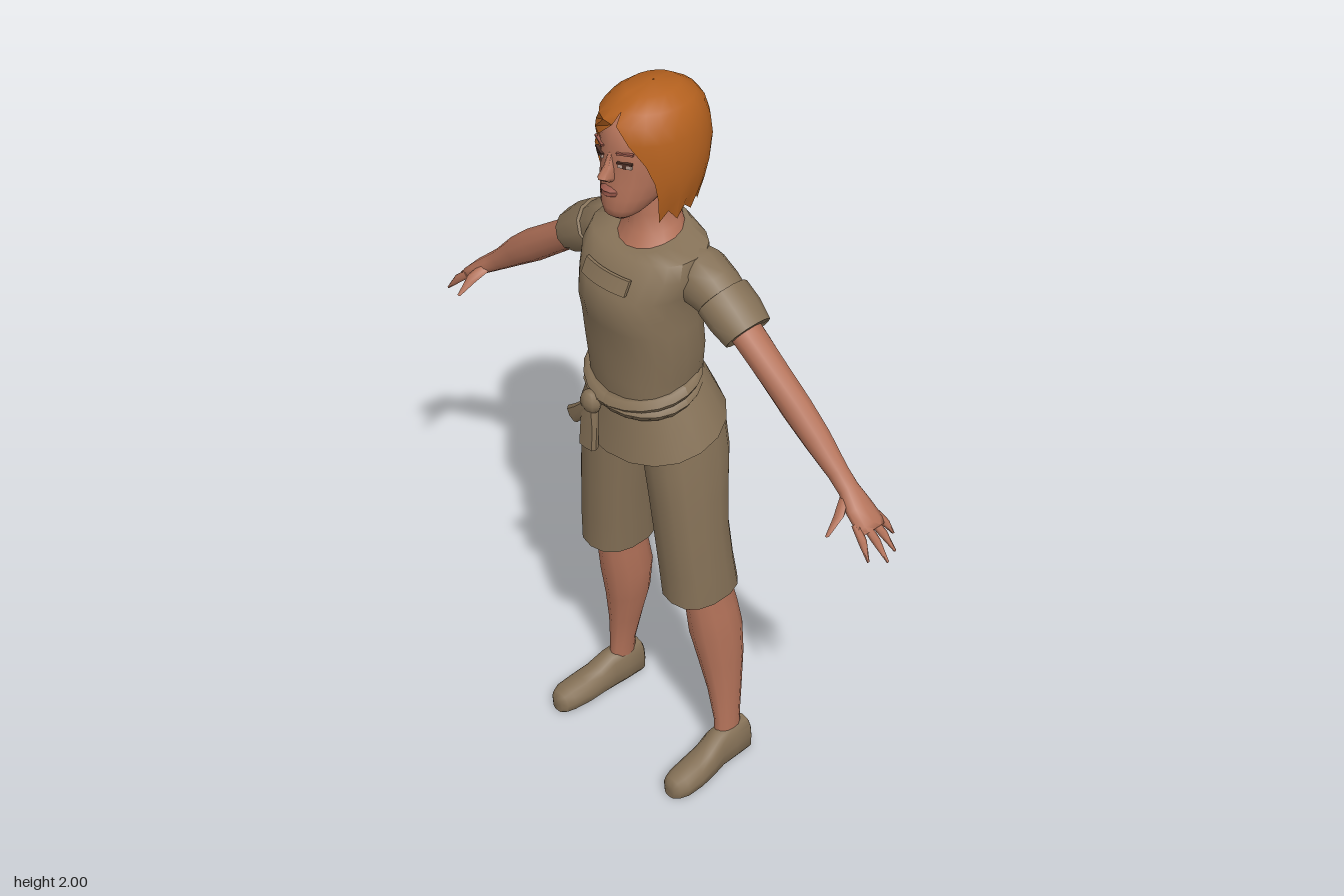
import * as THREE from 'three';
import { toCreasedNormals } from 'three/addons/utils/BufferGeometryUtils.js';

const V = (x, y, z) => new THREE.Vector3(x, y, z);
const pw = (v, p) => Math.sign(v) * Math.abs(v) ** p;

// Closed skin through a list of equal-length rings, capped at both ends and facing outward
function loft(rings, crease = 0.9) {
  const n = rings[0].length, pts = rings.flat(), idx = [];
  for (let i = 0; i < rings.length - 1; i++)
    for (let k = 0; k < n; k++) {
      const a = i * n + k, b = i * n + (k + 1) % n;
      idx.push(a, b, a + n, b, b + n, a + n);
    }
  [0, rings.length - 1].forEach((r) => {
    const c = pts.length, mid = V(0, 0, 0);
    rings[r].forEach((p) => mid.addScaledVector(p, 1 / n));
    pts.push(mid);
    for (let k = 0; k < n; k++) {
      const a = r * n + k, b = r * n + (k + 1) % n;
      r ? idx.push(a, b, c) : idx.push(b, a, c);
    }
  });
  let volume = 0;
  for (let i = 0; i < idx.length; i += 3)
    volume += pts[idx[i]].dot(pts[idx[i + 1]].clone().cross(pts[idx[i + 2]]));
  if (volume < 0) idx.reverse();
  const g = new THREE.BufferGeometry().setFromPoints(pts);
  g.setIndex(idx);
  return toCreasedNormals(g, crease);
}

// Horizontal ring: height, half width, front z, back z, centre x, front-to-back tilt
function ring([y, hw, zf, zb, cx = 0, tilt = 0], n = 16, p = 0.85) {
  return Array.from({ length: n }, (_, k) => {
    const t = (k / n) * Math.PI * 2, c = Math.cos(t);
    return V(cx + hw * pw(Math.sin(t), p), y + tilt * c, (zf + zb) / 2 + (zf - zb) / 2 * pw(c, p));
  });
}
const stack = (rows, n, p, crease) => loft(rows.map((r) => ring(r, n, p)), crease);

// Limb along a path of [x, y, z, radius across, radius in z]
function limb(path, side, n = 10, crease = 0.9) {
  return loft(path.map(([x, y, z, r, rz], i) => {
    const a = path[Math.max(i - 1, 0)], b = path[Math.min(i + 1, path.length - 1)];
    const d = new THREE.Vector2(b[0] - a[0], b[1] - a[1]).normalize();
    return Array.from({ length: n }, (_, k) => {
      const t = (k / n) * Math.PI * 2, u = r * Math.cos(t);
      return V(side * (x - d.y * u), y + d.x * u, z + rz * Math.sin(t));
    });
  }), crease);
}

// Bobbed hair: a shell open around the face, with a jagged lower edge
function hairShell() {
  const rows = [ // height, half width, front z, back z, opening half angle
    [2.0, 0.002, -0.01, -0.014, 0], [1.99, 0.055, 0.06, -0.08, 0], [1.965, 0.088, 0.1, -0.12, 0],
    [1.94, 0.106, 0.124, -0.14, 3], [1.9, 0.118, 0.131, -0.153, 22], [1.85, 0.123, 0.13, -0.158, 41],
    [1.8, 0.122, 0.125, -0.15, 51], [1.75, 0.114, 0.117, -0.137, 56], [1.705, 0.1, 0.1, -0.118, 58],
  ];
  const n = 20, pts = [], idx = [];
  rows.forEach(([y, rx, zf, zb, open], i) => {
    for (let k = 0; k <= n; k++) {
      const o = open * Math.PI / 180, part = 0.16 * (1 - open / 60);
      const t = part + o + (k / n) * (Math.PI * 2 - 2 * o);
      const jag = i === rows.length - 1 ? (k % 2 ? 0.014 : -0.014) - (k < 4 ? 0.008 : 0) : 0;
      pts.push(V(rx * Math.sin(t), y + jag, (zf + zb) / 2 + (zf - zb) / 2 * Math.cos(t)));
      if (i && k) {
        const a = (i - 1) * (n + 1) + k - 1, b = a + n + 1;
        idx.push(a, b, a + 1, a + 1, b, b + 1);
      }
    }
  });
  const g = new THREE.BufferGeometry().setFromPoints(pts);
  g.setIndex(idx);
  return toCreasedNormals(g, 0.6);
}

export function createModel() {
  const model = new THREE.Group();
  model.name = 'figure';
  const mat = (name, color, side = THREE.FrontSide) => {
    const m = new THREE.MeshStandardMaterial({ color, side });
    m.name = name;
    return m;
  };
  const skin = mat('skin', 0xb4735a), hairMat = mat('copper hair', 0xb4611f, THREE.DoubleSide);
  const cloth = mat('brown cloth', 0x857157), lipMat = mat('lips', 0x9c5a4c);
  const dark = mat('dark lash', 0x4c2f26), white = mat('eye', 0xb9a195);
  const add = (name, geometry, material) => {
    const m = new THREE.Mesh(geometry, material);
    m.name = name;
    model.add(m);
    return m;
  };

  // Head and neck
  add('head', stack([
    [1.688, 0.024, 0.112, 0.06], [1.7, 0.04, 0.127, 0.03], [1.72, 0.055, 0.131, 0], [1.75, 0.069, 0.13, -0.05],
    [1.785, 0.08, 0.127, -0.09], [1.83, 0.088, 0.122, -0.11], [1.88, 0.09, 0.123, -0.115],
    [1.925, 0.08, 0.11, -0.1], [1.955, 0.055, 0.07, -0.08],
  ], 18, 0.88, 1.2), skin);
  add('neck', stack([
    [1.55, 0.12, 0.09, -0.08], [1.605, 0.088, 0.078, -0.085, 0, -0.02], [1.635, 0.065, 0.052, -0.083, 0, -0.012],
    [1.67, 0.054, 0.042, -0.08], [1.77, 0.054, 0.045, -0.08],
  ], 16, 1, 1.2), skin);
  add('nose', stack([
    [1.865, 0.007, 0.124, 0.1], [1.83, 0.011, 0.139, 0.1], [1.806, 0.018, 0.157, 0.1], [1.793, 0.014, 0.138, 0.1],
  ], 8, 1, 1.2), skin);
  add('lips', stack([
    [1.778, 0.014, 0.13, 0.1], [1.77, 0.027, 0.141, 0.1], [1.764, 0.028, 0.136, 0.1],
    [1.757, 0.023, 0.139, 0.1], [1.75, 0.012, 0.13, 0.1],
  ], 10, 1, 1.2), lipMat);
  add('hair', hairShell(), hairMat);

  // Shirt with round neckline, waist and flared hem
  add('shirt', stack([
    [1.19, 0.136, 0.13, -0.108], [1.25, 0.14, 0.136, -0.114], [1.32, 0.152, 0.14, -0.11],
    [1.4, 0.149, 0.152, -0.105], [1.45, 0.147, 0.164, -0.105], [1.5, 0.151, 0.156, -0.107],
    [1.555, 0.168, 0.126, -0.108], [1.598, 0.158, 0.1, -0.104, 0, -0.012], [1.615, 0.09, 0.082, -0.09, 0, -0.025],
  ], 20, 0.85, 1), cloth);
  add('shirtHem', stack([
    [1.215, 0.137, 0.128, -0.108, 0, -0.025], [1.15, 0.172, 0.135, -0.135, 0, -0.045],
    [1.077, 0.206, 0.142, -0.163, 0, -0.055], [1.085, 0.196, 0.132, -0.153, 0, -0.055],
    [1.16, 0.155, 0.11, -0.12, 0, -0.04],
  ], 18, 0.95, 0.7), cloth);

  // Chest flap follows the curve of the shirt
  const flap = new THREE.BoxGeometry(0.148, 0.036, 0.008, 8, 1, 1);
  const fp = flap.attributes.position;
  for (let i = 0; i < fp.count; i++)
    fp.setZ(i, fp.getZ(i) + 0.146 - 0.5 * fp.getY(i) - 1.8 * fp.getX(i) ** 2);
  flap.translate(0, 1.535, 0);
  flap.computeVertexNormals();
  add('chestFlap', flap, cloth);

  // Two crossing sash loops, knot and tails
  for (const lean of [0.07, -0.12]) {
    const g = new THREE.TorusGeometry(0.138, 0.021, 6, 22).rotateX(Math.PI / 2).scale(1, 1, 0.84);
    const p = g.attributes.position;
    for (let i = 0; i < p.count; i++)
      p.setXYZ(i, p.getX(i), p.getY(i) + 1.208 - 0.24 * p.getZ(i) + lean * p.getX(i), p.getZ(i) + 0.02);
    g.computeVertexNormals();
    add('sash', g, cloth);
  }
  add('sashKnot', new THREE.SphereGeometry(0.032, 8, 6).scale(1, 1, 0.7).translate(-0.045, 1.155, 0.15), cloth);
  add('sashTail', stack([
    [1.15, 0.018, 0.165, 0.135, -0.048], [1.09, 0.025, 0.166, 0.14, -0.048], [1.02, 0.027, 0.168, 0.142, -0.05],
  ], 8, 0.5, 0.6), cloth);
  add('sashTail', limb([
    [-0.04, 1.155, 0.155, 0.014, 0.012], [-0.085, 1.105, 0.152, 0.021, 0.012], [-0.118, 1.075, 0.147, 0.024, 0.01],
  ], 1, 8, 0.6), cloth);

  // Seat of the shorts
  add('shortsSeat', stack([
    [1.2, 0.13, 0.1, -0.105], [1.12, 0.172, 0.105, -0.13], [1.06, 0.188, 0.1, -0.137], [1.02, 0.15, 0.08, -0.12],
    [1.0, 0.06, 0.05, -0.09],
  ], 18, 0.9, 1.2), cloth);

  for (const s of [1, -1]) {
    const side = s > 0 ? 'left' : 'right';

    // Face details
    const plate = (name, w, h, x, y, z, material, roll) => {
      const m = add(side + name, new THREE.BoxGeometry(w, h, 0.008), material);
      m.position.set(s * x, y, z);
      m.rotation.set(0, s * 0.38, s * roll);
    };
    plate('Eye', 0.034, 0.01, 0.042, 1.842, 0.113, white, 0.05);
    plate('Lash', 0.038, 0.005, 0.042, 1.849, 0.1145, dark, 0.08);
    plate('Iris', 0.01, 0.01, 0.042, 1.842, 0.1145, dark, 0);
    plate('Brow', 0.042, 0.005, 0.043, 1.874, 0.114, lipMat, 0.12);

    // Sleeve, rolled cuff, arm and hand
    add(side + 'Sleeve', limb([
      [0.08, 1.545, -0.03, 0.06, 0.06], [0.145, 1.53, -0.032, 0.079, 0.07], [0.19, 1.513, -0.034, 0.068, 0.066],
      [0.23, 1.492, -0.035, 0.056, 0.06],
    ], s, 12, 1.2), cloth);
    add(side + 'Cuff', limb([
      [0.208, 1.508, -0.035, 0.05, 0.055], [0.212, 1.505, -0.035, 0.065, 0.07], [0.255, 1.477, -0.035, 0.064, 0.071],
      [0.299, 1.447, -0.035, 0.055, 0.064], [0.294, 1.45, -0.035, 0.045, 0.052],
    ], s, 12, 0.6), cloth);
    add(side + 'Arm', limb([
      [0.25, 1.476, -0.035, 0.043, 0.042], [0.32, 1.427, -0.035, 0.039, 0.041], [0.4, 1.368, -0.035, 0.041, 0.037],
      [0.465, 1.32, -0.035, 0.043, 0.035], [0.53, 1.27, -0.036, 0.038, 0.033], [0.6, 1.21, -0.038, 0.028, 0.026],
      [0.635, 1.183, -0.037, 0.025, 0.027], [0.675, 1.153, -0.033, 0.021, 0.038], [0.71, 1.125, -0.034, 0.016, 0.042],
      [0.722, 1.115, -0.034, 0.009, 0.036],
    ], s, 10, 1.2), skin);
    const fingers = [ // start z, tip x, tip y, tip z
      [-0.066, 0.737, 1.085, -0.087], [-0.046, 0.768, 1.064, -0.062], [-0.024, 0.78, 1.058, -0.026],
      [-0.002, 0.757, 1.068, 0.016],
    ];
    for (const [z, tx, ty, tz] of fingers)
      add(side + 'Finger', limb([
        [0.695, 1.134, z, 0.011, 0.011], [(0.7 + tx) / 2, (1.14 + ty) / 2, (z + tz) / 2, 0.011, 0.01],
        [tx, ty, tz, 0.003, 0.003],
      ], s, 6, 1.2), skin);
    add(side + 'Thumb', limb([
      [0.64, 1.175, -0.022, 0.014, 0.014], [0.658, 1.145, 0.015, 0.015, 0.014], [0.662, 1.11, 0.056, 0.005, 0.005],
    ], s, 6, 1.2), skin);

    // Short leg with a hollow lower opening
    add(side + 'ShortsLeg', stack([
      [1.09, 0.085, 0.095, -0.132, s * 0.1], [1.0, 0.086, 0.095, -0.134, s * 0.114],
      [0.9, 0.086, 0.087, -0.12, s * 0.125], [0.8, 0.085, 0.08, -0.112, s * 0.135],
      [0.68, 0.084, 0.072, -0.122, s * 0.146], [0.592, 0.083, 0.065, -0.135, s * 0.152, -0.006],
      [0.595, 0.074, 0.055, -0.125, s * 0.152, -0.006], [0.64, 0.066, 0.045, -0.115, s * 0.152],
    ], 14, 0.85, 0.9), cloth);

    // Lower leg
    add(side + 'Calf', stack([
      [0.7, 0.055, 0.035, -0.105, s * 0.155], [0.59, 0.052, 0.022, -0.118, s * 0.162],
      [0.52, 0.056, 0.012, -0.135, s * 0.168], [0.44, 0.06, 0, -0.152, s * 0.17],
      [0.34, 0.051, -0.022, -0.154, s * 0.179], [0.24, 0.037, -0.04, -0.143, s * 0.192],
      [0.14, 0.026, -0.05, -0.131, s * 0.204], [0.05, 0.026, -0.05, -0.13, s * 0.208],
    ], 12, 1, 1.2), skin);

    // Slip-on shoe, lofted from heel to toe: z, centre x, half width, height
    add(side + 'Shoe', loft([
      [-0.156, 0.209, 0.026, 0.09], [-0.145, 0.209, 0.038, 0.11], [-0.09, 0.21, 0.041, 0.117],
      [-0.042, 0.212, 0.041, 0.112], [0.0, 0.217, 0.044, 0.086], [0.05, 0.221, 0.048, 0.071],
      [0.1, 0.224, 0.045, 0.063], [0.122, 0.223, 0.036, 0.056], [0.132, 0.222, 0.02, 0.042],
    ].map(([z, cx, hw, h]) => Array.from({ length: 12 }, (_, k) => {
      const t = (k / 12) * Math.PI * 2, up = (1 + pw(Math.sin(t), 0.7)) / 2;
      return V(s * (cx + hw * pw(Math.cos(t), 0.7) * (1 - 0.18 * up)), h * up, z);
    })), 0.9), cloth);
  }
  return model;
}
